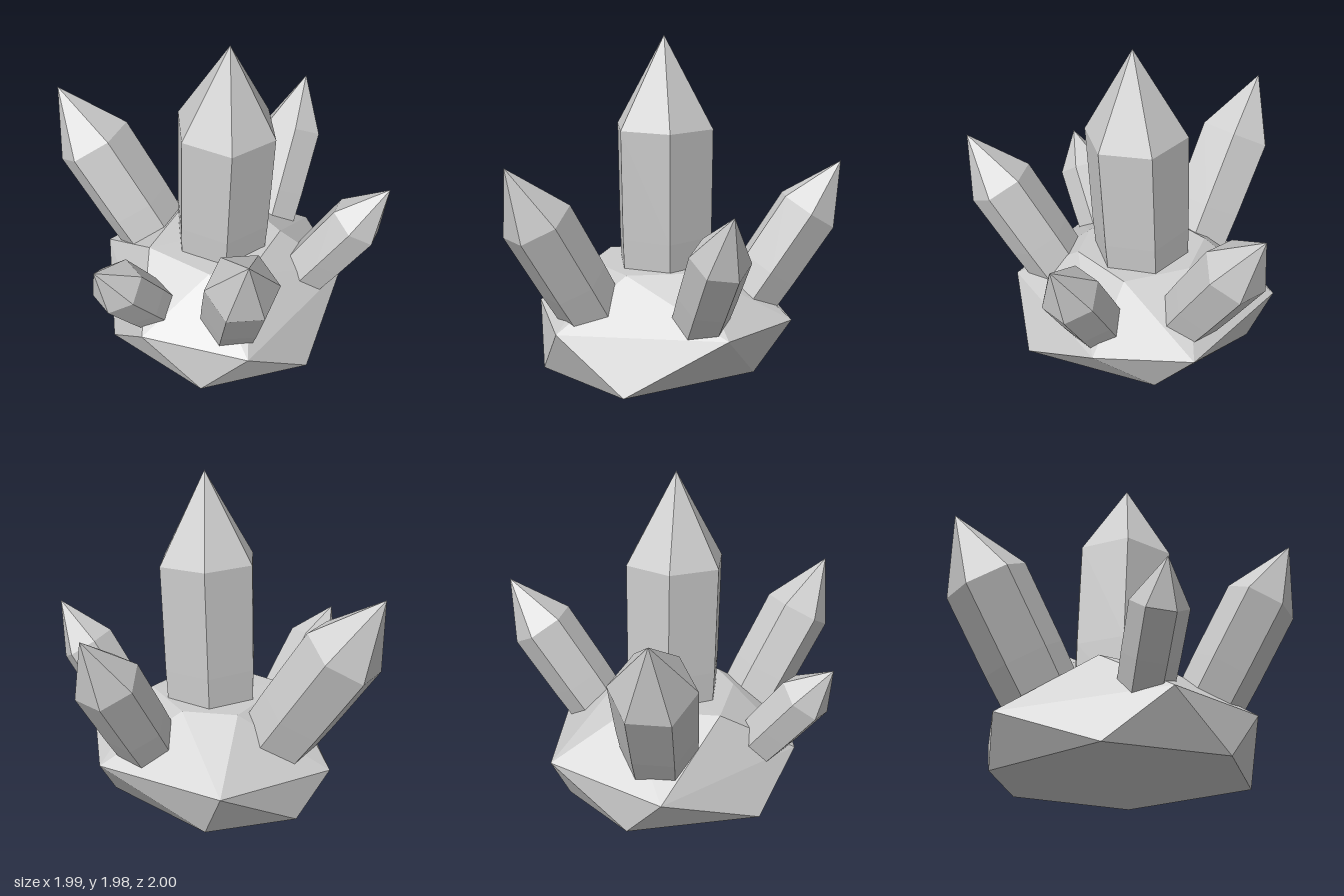
import * as THREE from 'three';

const stone = new THREE.MeshStandardMaterial({ color: 0xcccccc, flatShading: true });
stone.name = 'pale grey stone';

// Faceted rock: flat underside, overhanging rim and flat crown, as rings of six corners
function makeRock() {
  const foot = [[-0.13, 0, 0.74], [0.57, 0, 0.54], [0.8, 0, -0.11], [0.12, 0, -0.64], [-0.6, 0, -0.37], [-0.72, 0, 0.18]];
  const rim = [[0.25, 0.31, 0.75], [0.77, 0.3, 0.335], [0.5, 0.31, -0.62], [-0.07, 0.29, -0.81], [-0.77, 0.3, -0.36], [-0.7, 0.26, 0.42]];
  const crown = [[-0.13, 0.6, 0.44], [0.28, 0.59, 0.27], [0.41, 0.59, 0.06], [0.22, 0.6, -0.33], [-0.2, 0.6, -0.32], [-0.4, 0.6, -0.05]];
  const corners = [];
  const tri = (...points) => points.forEach(p => corners.push(...p));
  for (let i = 0; i < 6; i++) {
    const j = (i + 1) % 6;
    tri(foot[i], foot[j], rim[i]);
    tri(foot[j], rim[j], rim[i]);
    tri(rim[i], rim[j], crown[j]);
    tri(crown[i], rim[i], crown[j]);
    tri([0, 0, 0], foot[j], foot[i]);
    tri([0, 0.6, 0], crown[i], crown[j]);
  }
  const geometry = new THREE.BufferGeometry();
  geometry.setAttribute('position', new THREE.Float32BufferAttribute(corners, 3));
  geometry.computeVertexNormals();
  const mesh = new THREE.Mesh(geometry, stone);
  mesh.name = 'rockBase';
  return mesh;
}

// Six-sided crystal with a pointed end, running from its root to its tip
function makeCrystal({ name, root, tip, radius, shoulder, roll }) {
  const start = new THREE.Vector3(...root);
  const axis = new THREE.Vector3(...tip).sub(start);
  const length = axis.length();
  const profile = [
    [0, -0.07],
    [radius * 0.94, -0.07],
    [radius * 0.98, length * 0.19],
    [radius, length * shoulder],
    [0, length],
  ].map(([r, y]) => new THREE.Vector2(r, y));
  const geometry = new THREE.LatheGeometry(profile, 6);
  geometry.rotateY(THREE.MathUtils.degToRad(roll));
  const mesh = new THREE.Mesh(geometry, stone);
  mesh.name = name;
  mesh.position.copy(start);
  mesh.quaternion.setFromUnitVectors(new THREE.Vector3(0, 1, 0), axis.normalize());
  return mesh;
}

const crystals = [
  { name: 'mainCrystal', root: [0.01, 0.5, -0.01], tip: [0.07, 1.98, -0.03], radius: 0.315, shoulder: 0.635, roll: 0 },
  { name: 'leftCrystal', root: [0.52, 0.42, 0.26], tip: [0.98, 1.29, 0.51], radius: 0.21, shoulder: 0.63, roll: 30 },
  { name: 'rightCrystal', root: [-0.45, 0.45, 0.22], tip: [-0.97, 1.4, 0.55], radius: 0.247, shoulder: 0.63, roll: 30 },
  { name: 'frontCrystal', root: [0.12, 0.4, 0.6], tip: [0.2, 0.93, 1], radius: 0.165, shoulder: 0.61, roll: 30 },
  { name: 'backRightCrystal', root: [-0.14, 0.42, -0.53], tip: [-0.38, 1.23, -1], radius: 0.2, shoulder: 0.63, roll: 52 },
  { name: 'backLeftCrystal', root: [0.42, 0.4, -0.42], tip: [0.74, 1.08, -0.73], radius: 0.175, shoulder: 0.6, roll: 30 },
];

export function createModel() {
  const model = new THREE.Group();
  model.name = 'crystalCluster';
  model.add(makeRock());
  crystals.forEach(c => model.add(makeCrystal(c)));
  return model;
}
